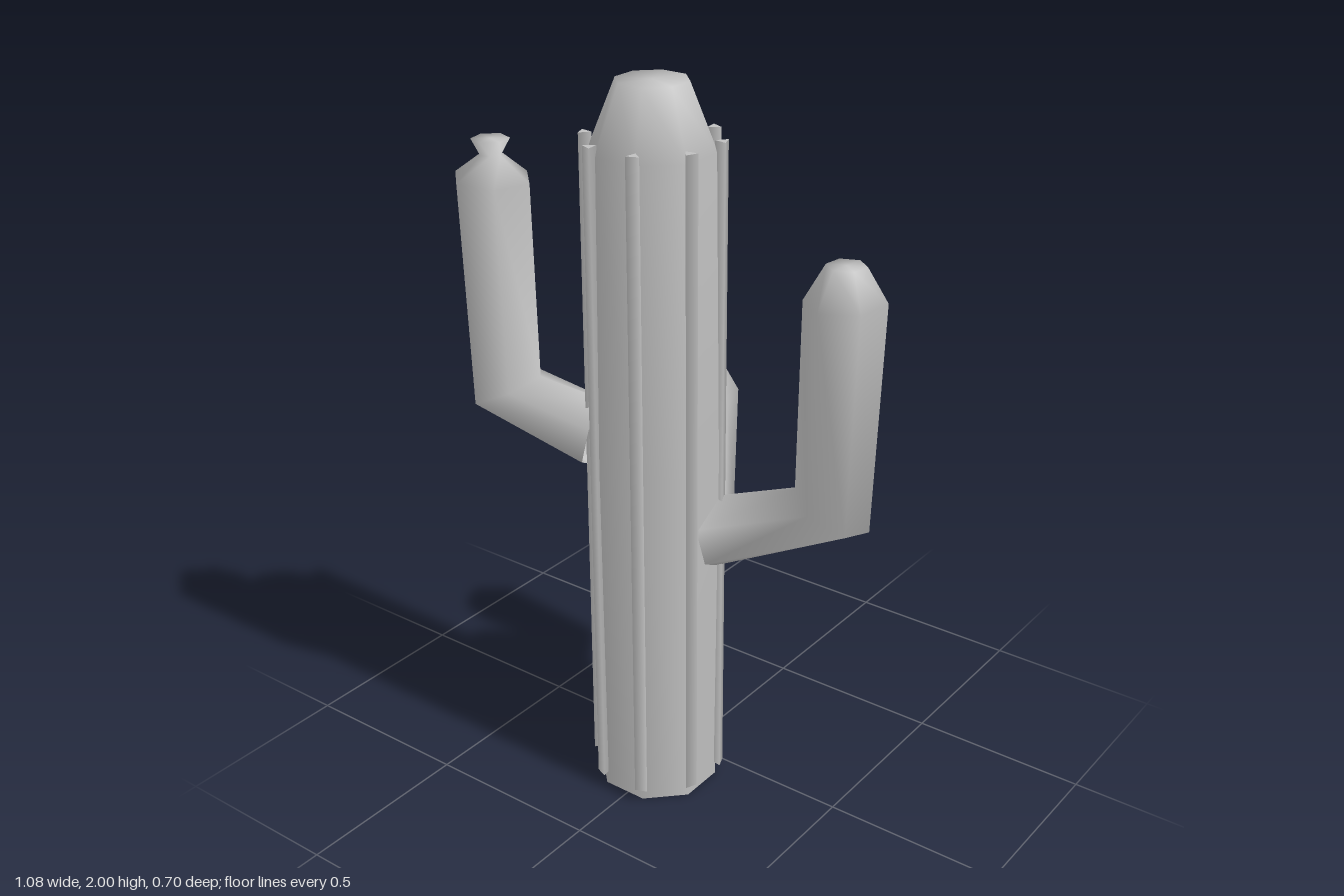
import * as THREE from 'three';

const SIDES = 6;
const CX = -0.012, CZ = 0.131; // trunk axis

// Hexagonal limb through rings. Each ring: [outer distance, outer y, inner distance, inner y,
// half width, twist], measured from the trunk axis along the limb's heading.
function limbGeometry(dx, dz, rings) {
  const u = new THREE.Vector2(dx, dz).normalize();
  const pos = [], index = [];
  const put = (d, y, s) => pos.push(d * u.x + s * u.y, y, d * u.y - s * u.x);
  for (const [dOut, yOut, dIn, yIn, r, twist = 0] of rings) {
    for (let k = 0; k < SIDES; k++) {
      const a = (k / SIDES) * Math.PI * 2 + twist;
      const t = (1 + Math.cos(a)) / 2;
      put(dIn + (dOut - dIn) * t, yIn + (yOut - yIn) * t, Math.sin(a) * r);
    }
  }
  for (let i = 0; i < rings.length - 1; i++) {
    for (let k = 0; k < SIDES; k++) {
      const n = (k + 1) % SIDES;
      const a = i * SIDES + k, b = i * SIDES + n, c = a + SIDES, d = b + SIDES;
      index.push(a, b, c, b, d, c);
    }
  }
  // Closed tip
  const last = rings[rings.length - 1], base = (rings.length - 1) * SIDES;
  put((last[0] + last[2]) / 2, (last[1] + last[3]) / 2, 0);
  for (let k = 0; k < SIDES; k++) {
    index.push(base + k, base + (k + 1) % SIDES, base + SIDES);
  }
  const g = new THREE.BufferGeometry();
  g.setAttribute('position', new THREE.Float32BufferAttribute(pos, 3));
  g.setIndex(index);
  g.computeVertexNormals();
  return g;
}

export function createModel() {
  const model = new THREE.Group();
  model.name = 'cactus';
  const plant = new THREE.Group();
  plant.name = 'plant';
  plant.position.set(CX, 0, CZ);
  model.add(plant);

  const skin = new THREE.MeshStandardMaterial({ color: 0xc0c0c0, side: THREE.DoubleSide });
  skin.name = 'grey skin';
  const add = (name, geometry, parent = plant) => {
    const mesh = new THREE.Mesh(geometry, skin);
    mesh.name = name;
    parent.add(mesh);
    return mesh;
  };

  // Eight-sided trunk, open at the foot, swelling slightly in the middle
  const profile = [[0.168, 0], [0.179, 1], [0.163, 1.83], [0.094, 2], [0, 2]]
    .map(([r, y]) => new THREE.Vector2(r, y));
  add('trunk', new THREE.LatheGeometry(profile, 8, Math.PI / 8));

  // Three-sided ribs along the trunk's corners
  const ribs = new THREE.Group();
  ribs.name = 'ribs';
  plant.add(ribs);
  const ribGeometry = new THREE.CylinderGeometry(0.02, 0.02, 1.82, 3, 1, false, Math.PI);
  for (let i = 0; i < 8; i++) {
    const a = (i + 0.5) * Math.PI / 4;
    const rib = add('rib', ribGeometry, ribs);
    rib.position.set(Math.sin(a) * 0.1755, 0.95, Math.cos(a) * 0.1755);
    rib.rotation.y = a;
  }

  // Arms: root, elbow, shoulder, tip
  add('leftArm', limbGeometry(0.452, -0.187, [
    [0.17, 0.685, 0.12, 0.885, 0.105],
    [0.576, 0.84, 0.376, 0.94, 0.106],
    [0.595, 1.48, 0.381, 1.47, 0.108],
    [0.54, 1.57, 0.436, 1.57, 0.052],
  ]));
  add('backArm', limbGeometry(-0.128, -0.385, [
    [0.16, 0.49, 0.12, 0.69, 0.1],
    [0.476, 0.63, 0.305, 0.755, 0.103],
    [0.505, 1.01, 0.297, 1.0, 0.106],
    [0.464, 1.1, 0.364, 1.1, 0.05],
  ]));
  // This arm ends in a twisted neck and a small flared bud
  add('rightArm', limbGeometry(-0.428, 0.115, [
    [0.184, 0.935, 0.14, 1.13, 0.105],
    [0.531, 1.08, 0.33, 1.17, 0.106],
    [0.552, 1.71, 0.34, 1.7, 0.107],
    [0.476, 1.767, 0.416, 1.767, 0.03, 0.9],
    [0.496, 1.808, 0.396, 1.808, 0.05, 1.5],
  ]));

  return model;
}
